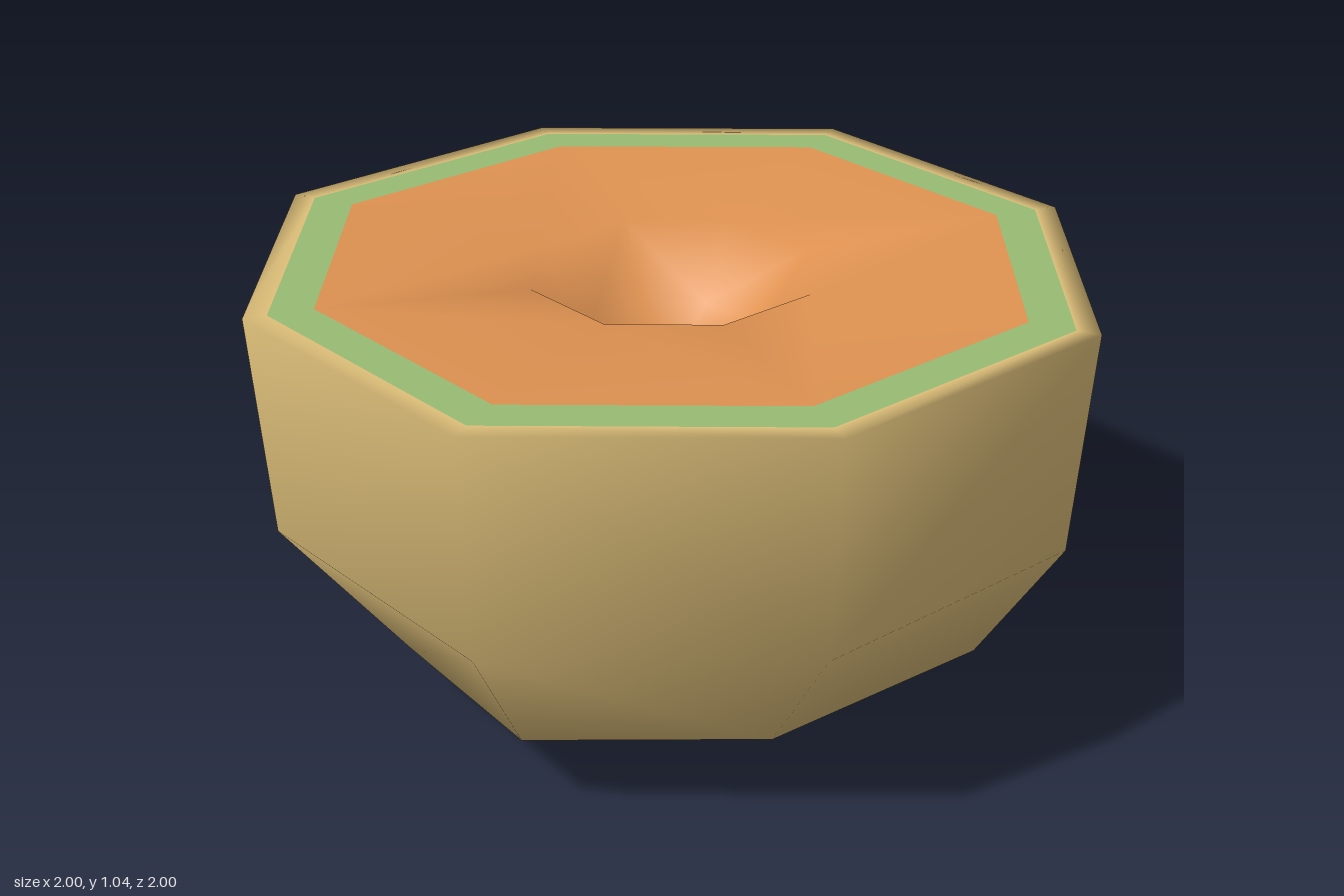
import * as THREE from 'three';
import { mergeVertices } from 'three/addons/utils/BufferGeometryUtils.js';

const SIDES = 8;
const TOP = 1.045;

const paint = (name, color) => {
  const m = new THREE.MeshStandardMaterial({ color });
  m.name = name;
  return m;
};

// Skin stacked octagonal rings. Each ring gives radius and height
// of its axis corners, then of its diagonal corners.
function skin(rings) {
  const pos = [];
  const index = [];
  rings.forEach(([rAxis, yAxis, rDiag = rAxis * 1.025, yDiag = yAxis], i) => {
    for (let j = 0; j < SIDES; j++) {
      const t = (j / SIDES) * Math.PI * 2;
      const r = j % 2 ? rDiag : rAxis;
      pos.push(r * Math.sin(t), j % 2 ? yDiag : yAxis, r * Math.cos(t));
      if (i === rings.length - 1) continue;
      const a = i * SIDES + j;
      const b = i * SIDES + ((j + 1) % SIDES);
      const c = a + SIDES;
      const d = b + SIDES;
      // alternate the split so the faces are mirrored about every corner
      if (j % 2) index.push(a, b, c, b, d, c);
      else index.push(a, b, d, a, d, c);
    }
  });
  let geo = new THREE.BufferGeometry();
  geo.setAttribute('position', new THREE.Float32BufferAttribute(pos, 3));
  geo.setIndex(index);
  geo = mergeVertices(geo, 1e-4); // joins the poles
  geo.computeVertexNormals();
  return geo;
}

export function createModel() {
  const group = new THREE.Group();
  group.name = 'halfMelon';
  const add = (name, rings, material) => {
    const mesh = new THREE.Mesh(skin(rings), material);
    mesh.name = name;
    group.add(mesh);
  };

  // outer skin, from the bottom pole up and over the rim
  add('rind', [
    [0, 0],
    [0.665, 0.135, 0.785, 0.19],
    [0.96, 0.51, 0.985, 0.505],
    [1, TOP],
    [0.945, TOP],
  ], paint('tanRind', 0xdfc07a));

  // band just inside the rind
  add('innerRind', [[0.945, TOP], [0.84, TOP]], paint('greenRind', 0x98bb74));

  // flesh with the hollow seed cavity
  add('flesh', [
    [0.84, TOP],
    [0.34, 1.02],
    [0.2, 0.86],
    [0, 0.79],
  ], paint('orangeFlesh', 0xdf9251));

  return group;
}
